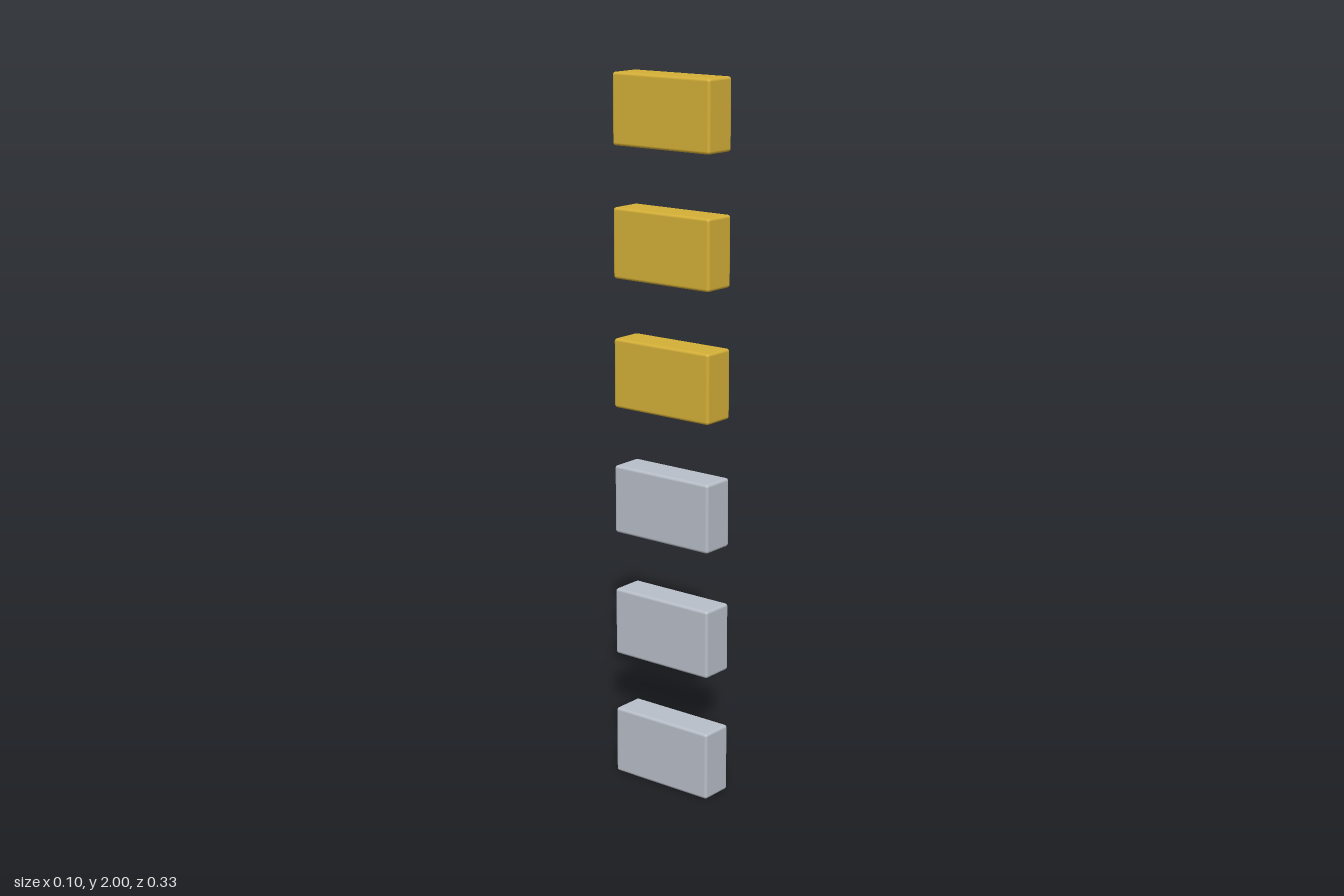
import * as THREE from 'three';
import { RoundedBoxGeometry } from 'three/addons/geometries/RoundedBoxGeometry.js';

const WIDTH = 0.098, HEIGHT = 0.195, DEPTH = 0.327, BEVEL = 0.008;
const COUNT = 6, PITCH = (2 - HEIGHT) / (COUNT - 1);

export function createModel() {
  const model = new THREE.Group();
  model.name = 'barStack';

  const silver = new THREE.MeshStandardMaterial({ color: 0xb8bec8 });
  silver.name = 'silver';
  const gold = new THREE.MeshStandardMaterial({ color: 0xd4af37 });
  gold.name = 'gold';

  // Evenly spaced rounded bars: silver lower half, gold upper half
  const geometry = new RoundedBoxGeometry(WIDTH, HEIGHT, DEPTH, 3, BEVEL);
  for (let i = 0; i < COUNT; i++) {
    const isSilver = i < COUNT / 2;
    const bar = new THREE.Mesh(geometry, isSilver ? silver : gold);
    bar.name = isSilver ? `silverBar${i + 1}` : `goldBar${i + 1 - COUNT / 2}`;
    bar.position.y = HEIGHT / 2 + i * PITCH;
    model.add(bar);
  }
  return model;
}
